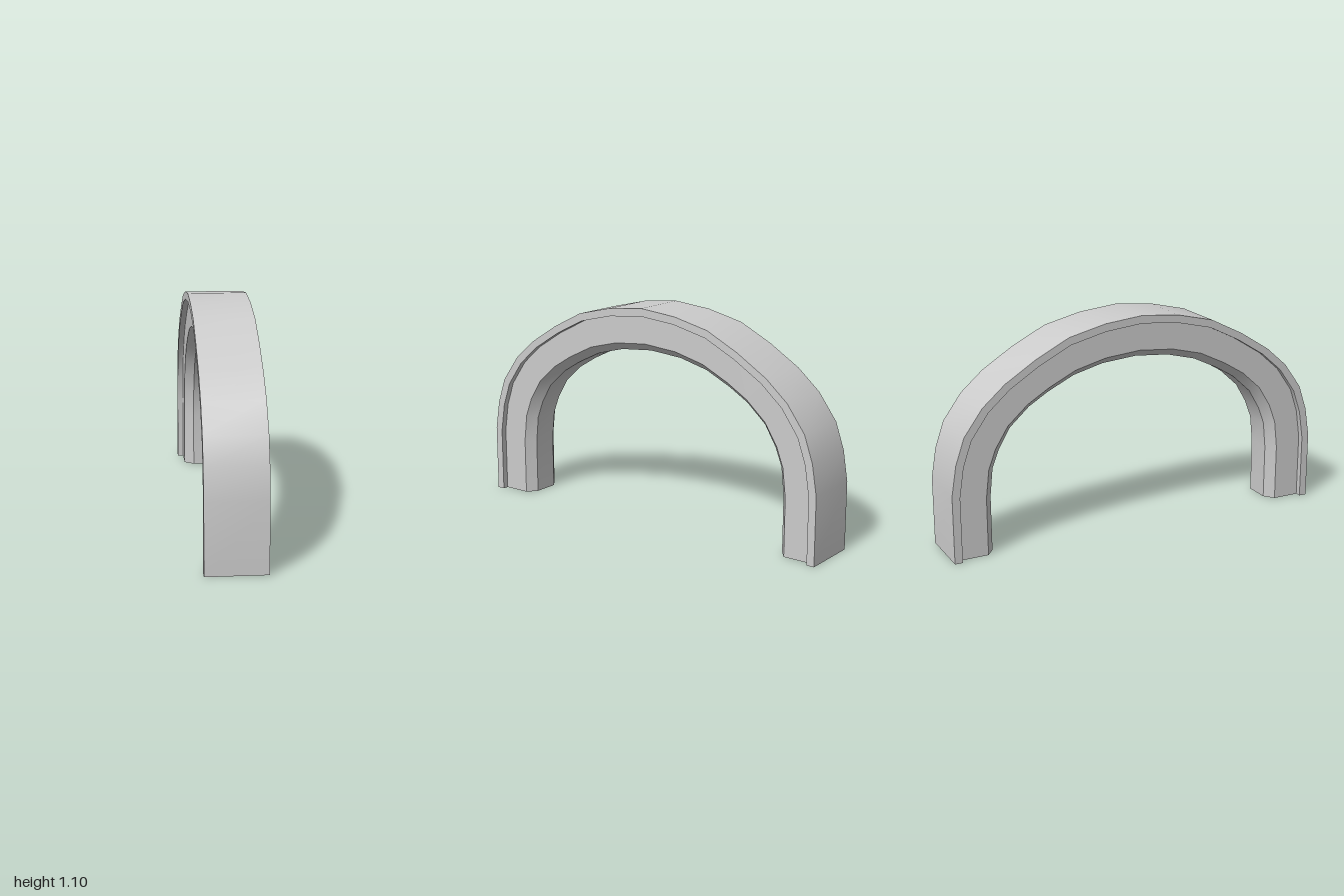
import * as THREE from 'three';
import { toCreasedNormals } from 'three/addons/utils/BufferGeometryUtils.js';

// Half-arch stations from foot to crown: [outer z, outer y, inner z, inner y]
const HALF_ARCH = [
  [1, 0, 0.78, 0],
  [1, 0.34, 0.78, 0.28],
  [0.975, 0.49, 0.765, 0.42],
  [0.93, 0.62, 0.73, 0.51],
  [0.835, 0.75, 0.67, 0.61],
  [0.72, 0.85, 0.57, 0.7],
  [0.56, 0.95, 0.47, 0.76],
  [0.39, 1.035, 0.335, 0.825],
  [0.2, 1.08, 0.18, 0.865],
  [0, 1.1, 0, 0.88],
];

// Half cross-section: [x, depth from outer (0) to inner (1) surface]
const HALF_PROFILE = [
  [0.145, 0], [0.145, 0.18], // outer flange
  [0.115, 0.18], [0.115, 0.82], // narrower rib
  [0.065, 1], // chamfered inner edge
];

function archGeometry() {
  // Mirror the stations front to back, and the profile left to right
  const stations = [
    ...HALF_ARCH,
    ...HALF_ARCH.slice(0, -1).reverse().map(([oz, oy, iz, iy]) => [-oz, oy, -iz, iy]),
  ];
  const profile = [
    ...HALF_PROFILE,
    ...HALF_PROFILE.slice().reverse().map(([x, t]) => [-x, t]),
  ];
  const n = profile.length;
  const last = stations.length - 1;

  const positions = [];
  for (const [oz, oy, iz, iy] of stations) {
    for (const [x, t] of profile) {
      positions.push(x, THREE.MathUtils.lerp(oy, iy, t), THREE.MathUtils.lerp(oz, iz, t));
    }
  }

  const index = [];
  const quad = (a, b, c, d) => index.push(a, b, c, a, c, d);

  // Skin between neighbouring stations
  for (let j = 0; j < last; j++) {
    for (let k = 0; k < n; k++) {
      const k2 = (k + 1) % n;
      quad(j * n + k, j * n + k2, (j + 1) * n + k2, (j + 1) * n + k);
    }
  }

  // Flat feet: flange, rib and chamfer strips
  for (const k of [0, 2, 3]) {
    const strip = [k, k + 1, n - 2 - k, n - 1 - k];
    quad(...strip.map((i) => last * n + i));
    quad(...strip.reverse());
  }

  const geometry = new THREE.BufferGeometry();
  geometry.setAttribute('position', new THREE.Float32BufferAttribute(positions, 3));
  geometry.setIndex(index);
  // Smooth along the arch, sharp across the profile
  return toCreasedNormals(geometry, THREE.MathUtils.degToRad(32));
}

export function createModel() {
  const group = new THREE.Group();
  group.name = 'archway';
  const arch = new THREE.Mesh(archGeometry(), new THREE.MeshStandardMaterial({ color: 0xcccccc }));
  arch.name = 'flangedArch';
  group.add(arch);
  return group;
}
